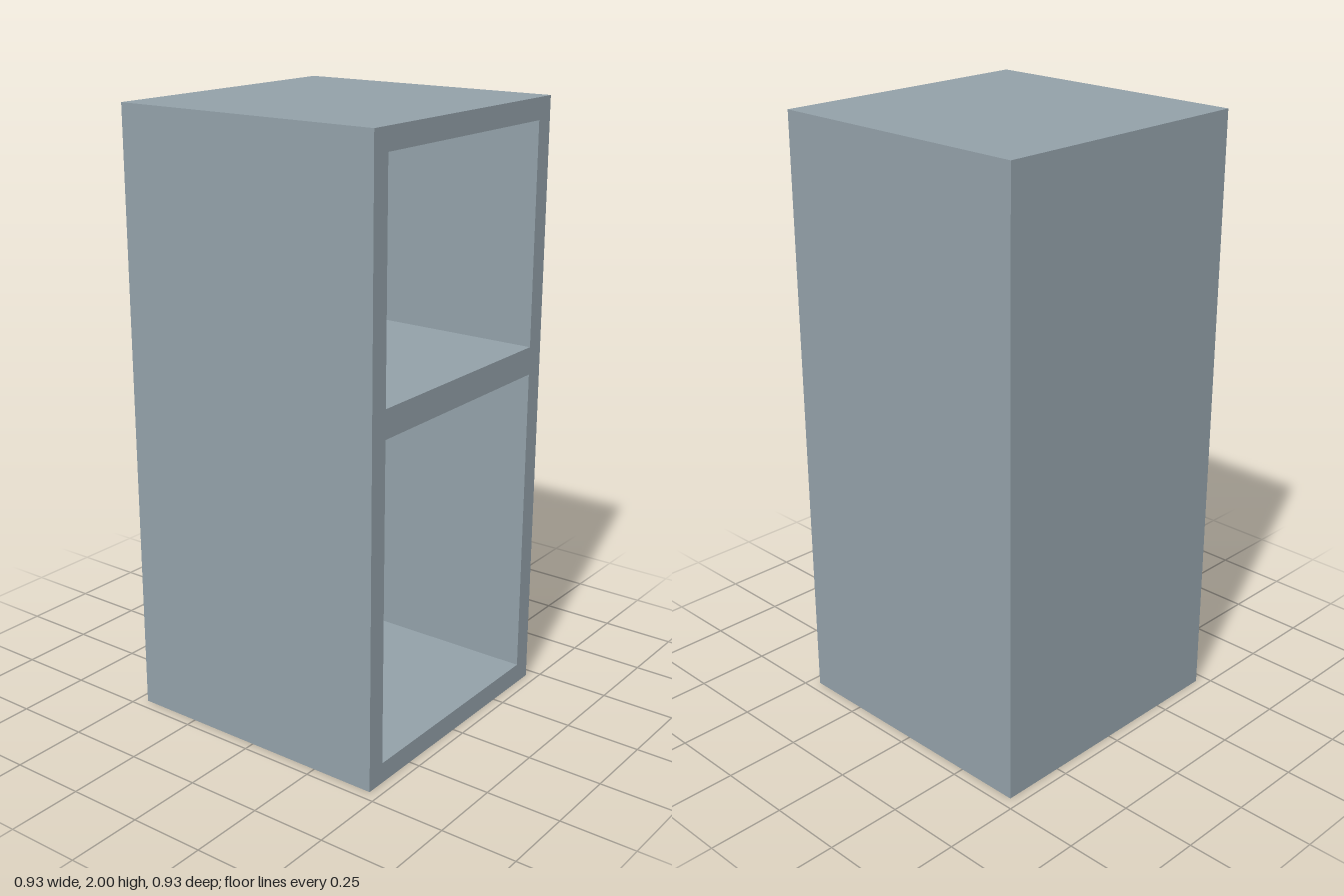
import * as THREE from 'three';

const W = 0.928, H = 2, D = 0.928; // outer size
const BACK = 0.06;                 // back panel thickness
const INNER = 0.399;               // half width of the openings
const OPENINGS = [[0.068, 1.115], [1.207, 1.93]]; // bottom and top of each

// Rectangle outline, symmetric about x = 0
function rect(path, halfWidth, y0, y1) {
  path.moveTo(-halfWidth, y0);
  path.lineTo(halfWidth, y0);
  path.lineTo(halfWidth, y1);
  path.lineTo(-halfWidth, y1);
  path.closePath();
  return path;
}

export function createModel() {
  const group = new THREE.Group();
  group.name = 'cabinet';
  const material = new THREE.MeshStandardMaterial({ color: 0x93a1a9 });

  // Sides, top, bottom and middle shelf as one frame with two openings
  const outline = rect(new THREE.Shape(), W / 2, 0, H);
  for (const [y0, y1] of OPENINGS) outline.holes.push(rect(new THREE.Path(), INNER, y0, y1));
  const frame = new THREE.Mesh(
    new THREE.ExtrudeGeometry(outline, { depth: D - BACK, bevelEnabled: false }),
    material
  );
  frame.name = 'frame';
  frame.position.z = -D / 2 + BACK;
  group.add(frame);

  // Closed back
  const back = new THREE.Mesh(new THREE.BoxGeometry(W, H, BACK), material);
  back.name = 'backPanel';
  back.position.set(0, H / 2, -D / 2 + BACK / 2);
  group.add(back);

  return group;
}
